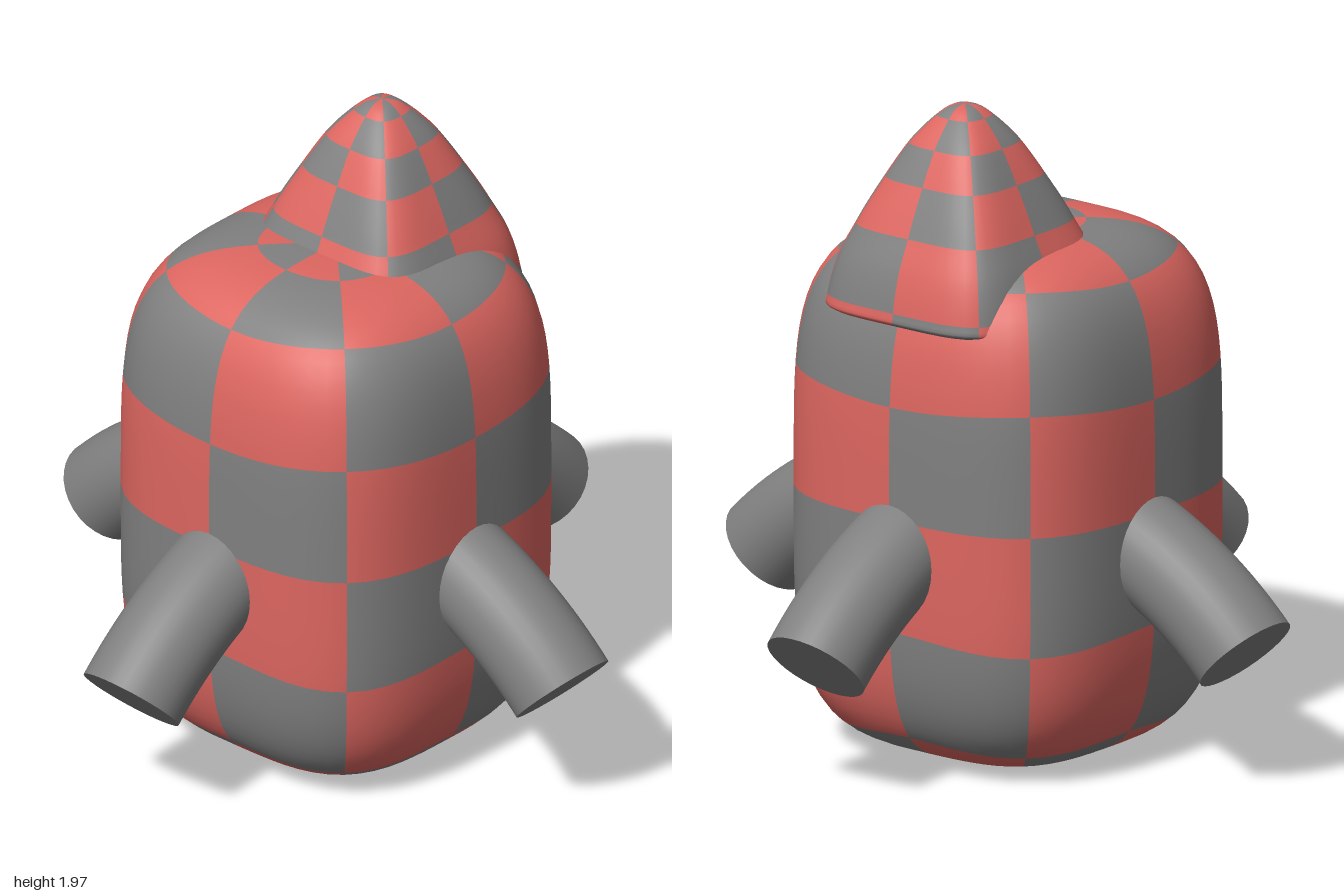
import * as THREE from 'three';

const red = new THREE.MeshStandardMaterial({ color: 0xdd6660 });
red.name = 'red';
const gray = new THREE.MeshStandardMaterial({ color: 0x808080 });
gray.name = 'gray';

const SECTORS = 8, SUB = 8;
const COLS = SECTORS * SUB;

// radius of a unit rounded square in the direction of an angle
const squircle = (a, p) =>
  Math.pow(Math.pow(Math.abs(Math.cos(a)), p) + Math.pow(Math.abs(Math.sin(a)), p), -1 / p);

// closed surface in loops around y, painted as a checkerboard of rows and sectors
function checkered(name, rows, point) {
  const steps = rows * SUB;
  const positions = [], lists = [[], []];
  for (let i = 0; i <= steps; i++) {
    for (let j = 0; j < COLS; j++) {
      positions.push(...point(i / SUB, (j / COLS) * Math.PI * 2));
    }
  }
  const id = (i, j) => i * COLS + (i === steps ? 0 : j % COLS);
  for (let i = 0; i < steps; i++) {
    for (let j = 0; j < COLS; j++) {
      const list = lists[(Math.floor(i / SUB) + Math.floor(j / SUB)) % 2];
      const a = id(i, j), b = id(i + 1, j), c = id(i, j + 1), d = id(i + 1, j + 1);
      list.push(a, b, c);
      if (b !== d) list.push(b, d, c);
    }
  }
  const geo = new THREE.BufferGeometry();
  geo.setAttribute('position', new THREE.Float32BufferAttribute(positions, 3));
  geo.setIndex([...lists[0], ...lists[1]]);
  geo.addGroup(0, lists[0].length, 0);
  geo.addGroup(lists[0].length, lists[1].length, 1);
  geo.computeVertexNormals();
  const mesh = new THREE.Mesh(geo, [red, gray]);
  mesh.name = name;
  return mesh;
}

// rounded block: a rounded-square section swept through a squarer upright outline,
// with the rows rising slightly towards the corners
function makeBody() {
  return checkered('body', 8, (t, a) => {
    const s = squircle(a, 3.2);
    const e = (t / 8 - 0.5) * Math.PI;
    const v = Math.atan2(Math.sin(e) * 1.05 * Math.pow(s, 0.6), Math.cos(e));
    const q = squircle(v, 4.2);
    const r = 0.55 * q * Math.cos(v) * s;
    return [r * Math.cos(a), 0.79 + 0.787 * q * Math.sin(v), r * Math.sin(a)];
  });
}

// off-centre pointed cap, square at the base and round at the tip
function makeCap() {
  const profile = new THREE.SplineCurve([
    [0.2, 1.34], [0.322, 1.37], [0.331, 1.41], [0.306, 1.52], [0.262, 1.62],
    [0.23, 1.69], [0.195, 1.76], [0.169, 1.81], [0.14, 1.86], [0.11, 1.9],
    [0.073, 1.94], [0.04, 1.965], [0, 1.974],
  ].map(([r, y]) => new THREE.Vector2(r, y)));
  return checkered('cap', 6, (t, a) => {
    const q = profile.getPoint(t / 6);
    const r = q.x * squircle(a, 2.2 + 2.3 * Math.min(1, q.x / 0.25));
    return [0.2 + r * Math.cos(a), q.y, r * Math.sin(a)];
  });
}

// drooping arm: an arc of a torus with a flat end
function makeArm(name, turn) {
  const R = 1.255, r = 0.157, arc = Math.PI / 5, cy = 0.789 - R;
  const arm = new THREE.Group();
  arm.name = name;
  const tube = new THREE.Mesh(
    new THREE.TorusGeometry(R, r, 32, 24, arc).rotateZ(Math.PI / 4).translate(0, cy, 0), gray);
  tube.name = 'armTube';
  const k = R * Math.SQRT1_2;
  const end = new THREE.Mesh(
    new THREE.CircleGeometry(r, 32).rotateY(Math.PI / 2).rotateZ(-Math.PI / 4)
      .translate(k, cy + k, 0), gray);
  end.name = 'armEnd';
  arm.add(tube, end);
  arm.rotation.y = turn;
  return arm;
}

export function createModel() {
  const model = new THREE.Group();
  model.name = 'model';
  model.add(makeBody(), makeCap());
  ['leftArm', 'backArm', 'rightArm', 'frontArm'].forEach((name, i) =>
    model.add(makeArm(name, i * Math.PI / 2)));
  return model;
}
